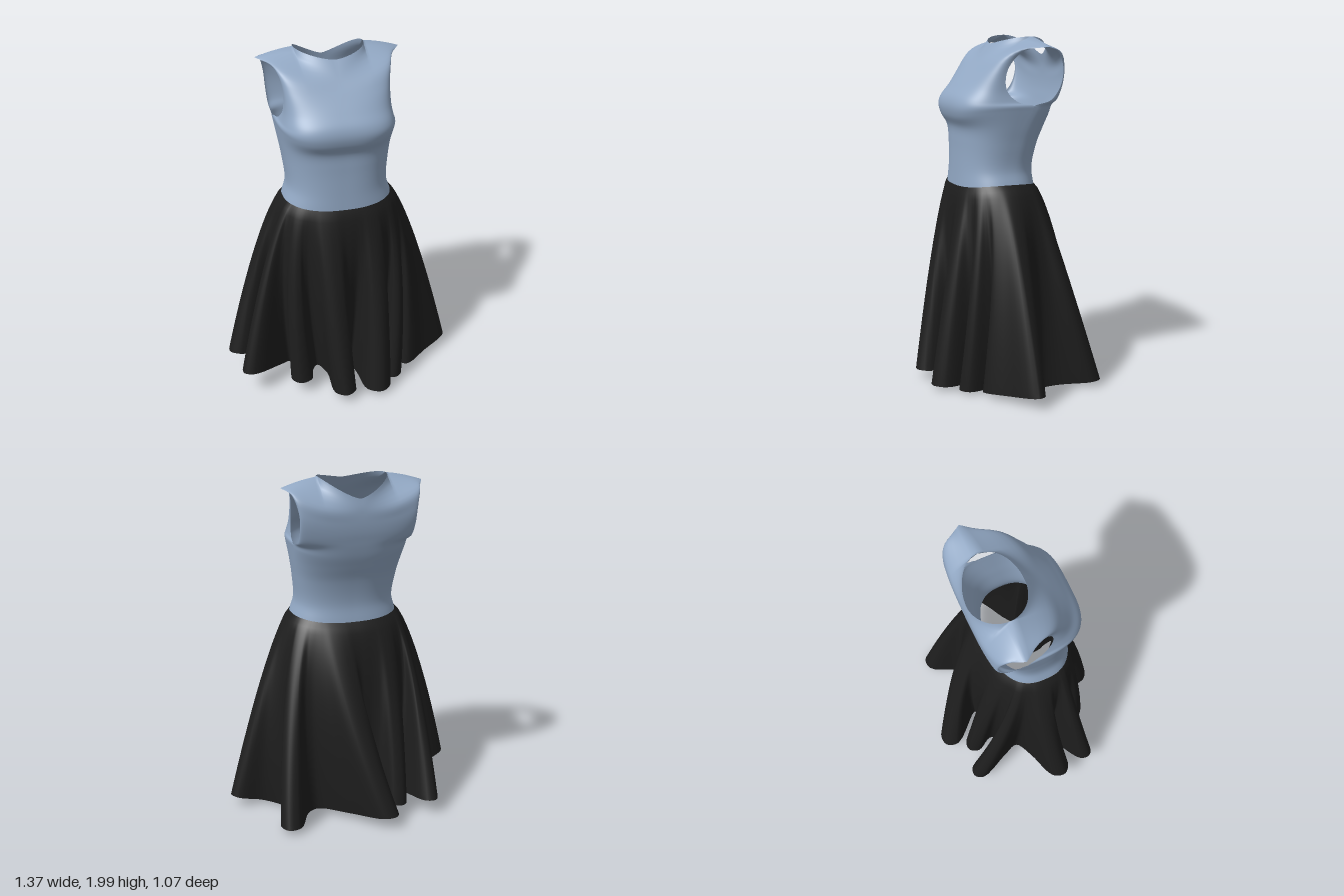
import * as THREE from 'three';
import { mergeGeometries, mergeVertices } from 'three/addons/utils/BufferGeometryUtils.js';

const bluegrey = new THREE.MeshStandardMaterial({ color: 0x92a8c4, side: THREE.DoubleSide });
bluegrey.name = 'blue grey cloth';
const black = new THREE.MeshStandardMaterial({ color: 0x1d1d1d, side: THREE.DoubleSide });
black.name = 'black cloth';

const OFFSET = -0.022; // the waist sits slightly to one side
const lerp = THREE.MathUtils.lerp;
const spow = (s, q) => Math.sign(s) * Math.abs(s) ** q;

// Grid surface: column(i) returns a function of v giving a point
function grid(cols, rows, column) {
  const pos = [], idx = [];
  for (let i = 0; i <= cols; i++) {
    const at = column(i / cols);
    for (let j = 0; j <= rows; j++) {
      const p = at(j / rows);
      pos.push(p.x, p.y, p.z);
      if (i < cols && j < rows) {
        const a = i * (rows + 1) + j, b = a + rows + 1;
        idx.push(a, b, a + 1, b, b + 1, a + 1);
      }
    }
  }
  const g = new THREE.BufferGeometry();
  g.setAttribute('position', new THREE.Float32BufferAttribute(pos, 3));
  g.setIndex(idx);
  return g;
}

function smooth(geometry) {
  const g = mergeVertices(geometry, 1e-4);
  g.computeVertexNormals();
  return g;
}

// Bodice rows: side edge x, y, z, then centre y, z, then roundness.
// Above the armpit the side edge follows the armhole.
const FRONT = [
  [0.31, 1.18, 0.07, 1.155, 0.295, 0.8],
  [0.287, 1.26, 0.06, 1.26, 0.29, 0.8],
  [0.298, 1.4, 0.03, 1.4, 0.287, 0.76],
  [0.313, 1.5, 0, 1.49, 0.292, 0.7],
  [0.327, 1.595, -0.05, 1.555, 0.325, 0.6],
  [0.33, 1.62, -0.06, 1.61, 0.335, 0.58],
  [0.315, 1.645, 0.03, 1.66, 0.322, 0.62],
  [0.3, 1.71, 0.09, 1.72, 0.275, 0.72],
  [0.3, 1.82, 0.085, 1.79, 0.212, 0.8],
  [0.33, 1.92, 0.005, 1.87, 0.137, 0.85],
];
const BACK = [
  [0.31, 1.18, 0.07, 1.155, -0.15, 0.8],
  [0.287, 1.26, 0.06, 1.26, -0.14, 0.8],
  [0.298, 1.4, 0.03, 1.4, -0.165, 0.78],
  [0.313, 1.5, 0, 1.49, -0.198, 0.75],
  [0.327, 1.595, -0.05, 1.555, -0.222, 0.72],
  [0.33, 1.62, -0.06, 1.61, -0.237, 0.72],
  [0.332, 1.65, -0.16, 1.65, -0.246, 0.74],
  [0.335, 1.72, -0.215, 1.7, -0.256, 0.78],
  [0.342, 1.82, -0.232, 1.76, -0.262, 0.8],
  [0.37, 1.92, -0.185, 1.83, -0.262, 0.85],
];

function rowPoint([ex, ey, ez, cy, cz, q], u) {
  const a = spow(u, 1.5) * Math.PI / 2, s = Math.sin(a), c = Math.max(0, Math.cos(a));
  return new THREE.Vector3(ex * spow(s, q), lerp(cy, ey, s * s), lerp(ez, cz, spow(c, q)));
}

// Neckline in the middle, shoulder seam on both sides
function topPoint(u, neckY, neckZ) {
  const m = Math.abs(u), side = Math.sign(u);
  if (m <= 0.5) {
    const a = m * Math.PI;
    return new THREE.Vector3(side * 0.2 * Math.sin(a), lerp(neckY, 1.997, Math.sin(a) ** 1.35),
      lerp(-0.1, neckZ, Math.cos(a)));
  }
  const t = m * 2 - 1;
  return new THREE.Vector3(side * lerp(0.2, 0.41, t), 1.997 - 0.025 * t - 0.025 * t * t, -0.1 - 0.01 * t);
}

function panel(rows, neckY, neckZ, dir) {
  return grid(64, 54, (k) => {
    const u = dir * (k * 2 - 1);
    const pts = rows.map((r) => rowPoint(r, u));
    pts.push(topPoint(u, neckY, neckZ));
    const curve = new THREE.CatmullRomCurve3(pts);
    return (v) => curve.getPoint(v);
  });
}

// Narrow skirt folds in order around the hem:
// tip x, z, half width, hem y, then the valley that follows: x, z, hem y
const FOLDS = [
  [0.27, 0.375, 0.055, 0.02, 0.2, 0.2, 0.025],
  [0.155, 0.5, 0.075, 0.03, 0.03, 0.22, 0.045],
  [-0.065, 0.525, 0.063, 0.06, -0.17, 0.2, 0.07],
  [-0.31, 0.375, 0.06, 0.085, -0.33, 0.16, 0.1],
  [-0.63, 0.28, 0.05, 0.15, -0.36, 0.06, 0.12],
  [-0.68, 0.08, 0.065, 0.18, -0.36, -0.12, 0.11],
  [-0.43, -0.45, 0.05, 0.1, -0.27, -0.2, 0.08],
  [-0.25, -0.41, 0.055, 0.08, -0.06, -0.26, 0.075],
  [-0.16, -0.53, 0.065, 0.08, 0.22, -0.22, 0.04],
  [0.46, -0.42, 0.06, 0.04, 0.38, -0.08, 0.005],
];
// The broad triangular fold on the left closes the loop: x, hem y, z
const BROAD = [
  [0.5, 0.03, 0.005], [0.65, 0.065, 0.015], [0.685, 0.07, 0.07],
  [0.52, 0.045, 0.185], [0.37, 0.03, 0.275],
];
const BROAD_END = [0.31, 0.15, 0.02];

function foldPoints([px, pz, py], [tx, tz, w, y, vx, vz, vy]) {
  // Straight side, rounded tip, straight side
  const d = new THREE.Vector2(tx - (vx + px) / 2, tz - (vz + pz) / 2);
  const base = d.length() * 0.75;
  d.normalize();
  const side = (s, back, hemY) => new THREE.Vector3(
    tx - d.x * back + s * d.y * w, hemY, tz - d.y * back - s * d.x * w);
  return [side(1, base, lerp(y, py, 0.75)), side(1, w * 0.7, y), new THREE.Vector3(tx, y, tz),
    side(-1, w * 0.7, y), side(-1, base, lerp(y, vy, 0.75))];
}

function skirtGeometry() {
  const hem = [], phis = [];
  let valley = BROAD_END;
  const angle = ([x, z]) => Math.atan2(z * 1.3, x);
  let phi = angle(valley);
  const addFold = (points, end) => {
    hem.push(new THREE.Vector3(valley[0], valley[2], valley[1]), ...points);
    let next = angle(end);
    while (next < phi) next += Math.PI * 2;
    for (let k = 0; k < 6; k++) phis.push(lerp(phi, next, k / 6));
    phi = next;
    valley = end;
  };
  FOLDS.forEach((f) => addFold(foldPoints(valley, f), f.slice(4)));
  addFold(BROAD.map((p) => new THREE.Vector3(...p)), BROAD_END);
  phis.push(phi);
  const curve = new THREE.CatmullRomCurve3(hem, true);
  const count = hem.length;

  return grid(count * 5, 36, (k) => {
    const h = curve.getPoint(k % 1);
    const i = Math.min(count - 1, Math.floor(k * count));
    const a = lerp(phis[i], phis[i + 1], k * count - i);
    const c = Math.cos(a), s = Math.sin(a);
    const wx = OFFSET + 0.312 * spow(c, 0.8);
    const wz = 0.07 + (s > 0 ? 0.227 : 0.222) * spow(s, 0.8);
    const wy = 1.159 + 0.025 * c * c;
    return (t) => {
      // Flares over the hips, folds deepen toward the hem
      const flare = t ** 0.74, fold = t ** 0.58;
      const x = lerp(0.69 * c, h.x, fold), z = lerp(0.52 * s, h.z, fold);
      return new THREE.Vector3(lerp(wx, x, flare), lerp(wy, Math.max(0, h.y), t), lerp(wz, z, flare));
    };
  });
}

export function createModel() {
  const dress = new THREE.Group();
  dress.name = 'dress';

  // Sleeveless bodice with open neck and armholes
  const bodice = new THREE.Mesh(
    smooth(mergeGeometries([panel(FRONT, 1.955, 0.065, 1), panel(BACK, 1.89, -0.252, -1)])), bluegrey);
  bodice.name = 'bodice';
  bodice.position.x = OFFSET;

  // Flared skirt hanging in deep folds
  const skirt = new THREE.Mesh(smooth(skirtGeometry()), black);
  skirt.name = 'skirt';

  dress.add(bodice, skirt);
  return dress;
}
